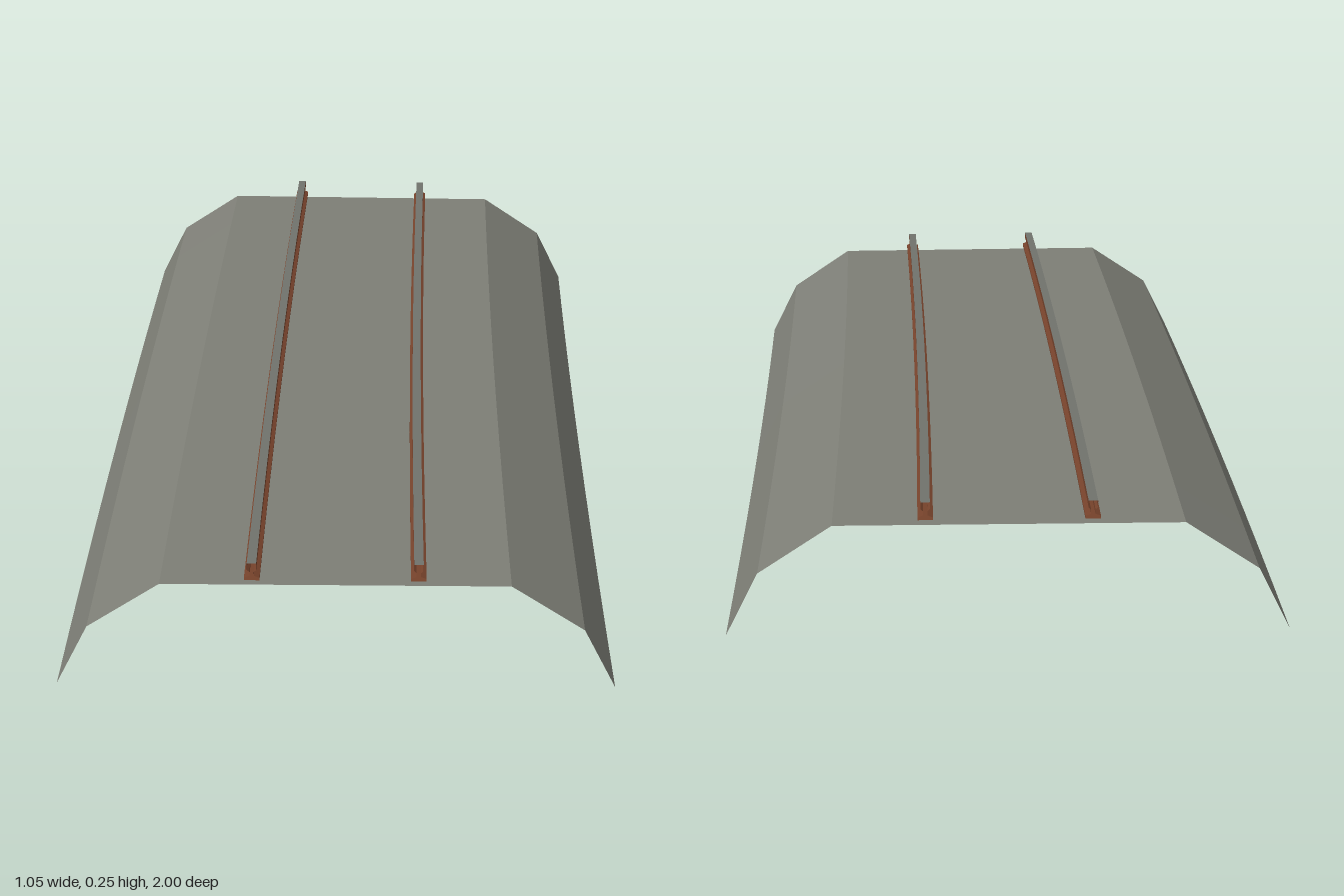
import * as THREE from 'three';

// Centreline: a very gentle arc starting at the front (z = 1) and bending to +x
const RADIUS = 80.5, ANGLE = 0.0247, START_X = -0.0125, STEPS = 10;

function arcPoint(x, y, t) {
  const a = ANGLE * t, r = RADIUS - x;
  return [START_X + RADIUS - r * Math.cos(a), y, 1 - r * Math.sin(a)];
}

// Sweep an open profile (listed left to right over the top) along the arc
function sweep(profile, name, material) {
  const pos = [];
  for (let i = 0; i < STEPS; i++) {
    const t0 = i / STEPS, t1 = (i + 1) / STEPS;
    for (let j = 0; j < profile.length - 1; j++) {
      const [p, q] = [profile[j], profile[j + 1]];
      const a = arcPoint(...p, t0), b = arcPoint(...q, t0);
      const c = arcPoint(...q, t1), d = arcPoint(...p, t1);
      pos.push(...a, ...b, ...c, ...a, ...c, ...d);
    }
  }
  const geometry = new THREE.BufferGeometry();
  geometry.setAttribute('position', new THREE.Float32BufferAttribute(pos, 3));
  geometry.computeVertexNormals();
  const mesh = new THREE.Mesh(geometry, material);
  mesh.name = name;
  return mesh;
}

function makeMaterial(name, color) {
  const m = new THREE.MeshStandardMaterial({ color, side: THREE.DoubleSide });
  m.name = name;
  return m;
}

export function createModel() {
  const gravel = makeMaterial('gravelGrey', 0x7d7e76);
  const rust = makeMaterial('rustBrown', 0x75422b);
  const steel = makeMaterial('wornSteel', 0x70726c);

  const model = new THREE.Group();
  model.name = 'railTrack';

  // Thin ballast bed: flat top, shoulder and steep skirt on each side
  const bed = [[-0.512, 0], [-0.452, 0.12], [-0.317, 0.21], [0.317, 0.21], [0.452, 0.12], [0.512, 0]];
  model.add(sweep(bed, 'ballastBed', gravel));

  // Rails: foot, web and head, with a worn running surface on top
  const half = [[0.014, 0.219], [0.014, 0.224], [0.004, 0.228], [0.004, 0.236], [0.0085, 0.24], [0.0085, 0.253]];
  for (const [x, name] of [[0.15, 'leftRail'], [-0.15, 'rightRail']]) {
    const rail = new THREE.Group();
    rail.name = name;
    const left = half.map(([w, y]) => [x - w, y]);
    const right = half.map(([w, y]) => [x + w, y]).reverse();
    rail.add(
      sweep(left, 'railSide', rust),
      sweep(right, 'railSide', rust),
      sweep([right[5], left[0]], 'railUnderside', rust),
      sweep([left[5], right[0]], 'railRunningSurface', steel)
    );
    model.add(rail);
  }
  return model;
}
